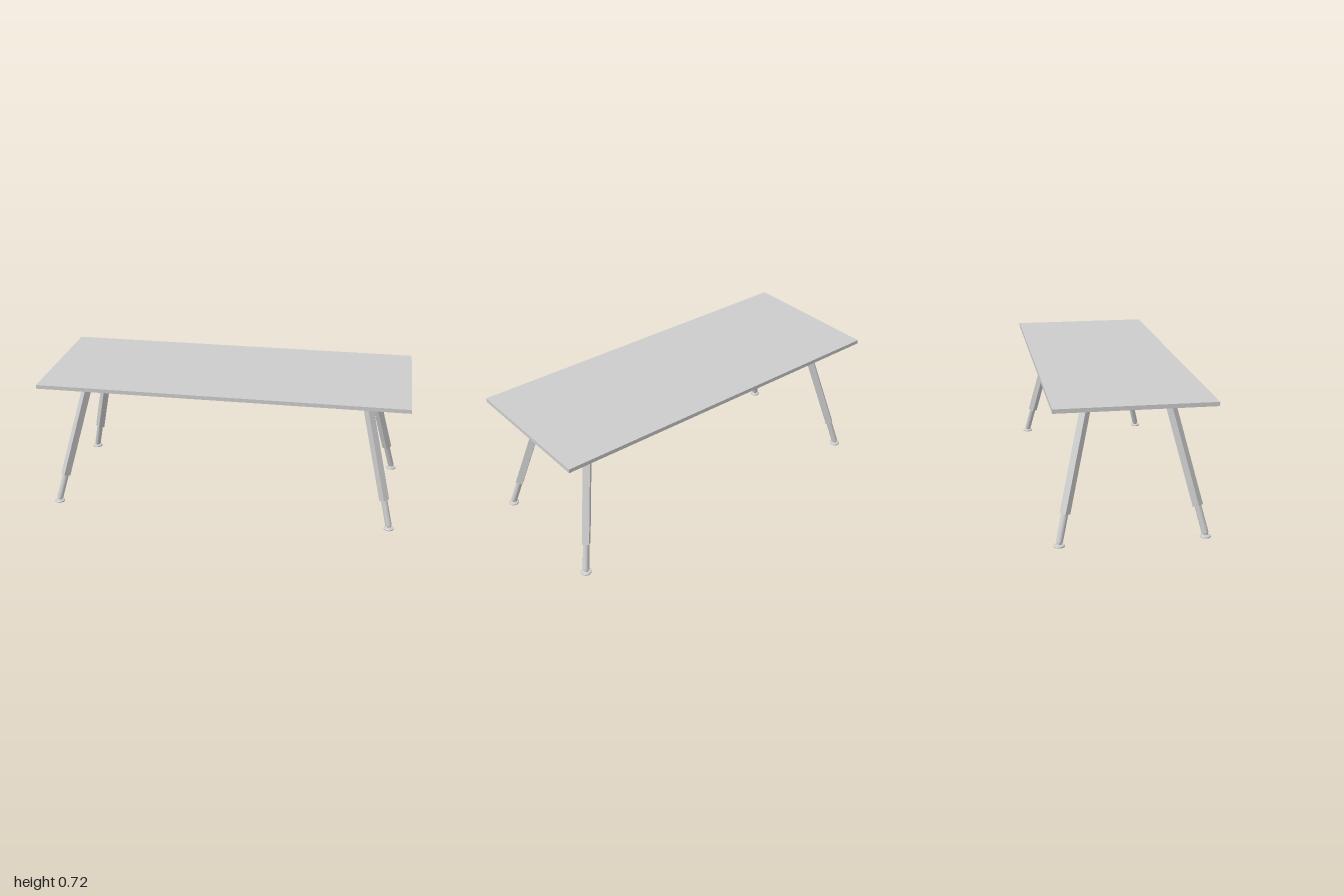
import * as THREE from 'three';

const grey = new THREE.MeshStandardMaterial({ color: 0xcccccc });
const TILT = 0.344; // leg run per unit of height
const legRadius = (y) => 0.526 - TILT * y;

function add(parent, name, geometry, x = 0, y = 0, z = 0) {
  const mesh = new THREE.Mesh(geometry, grey);
  mesh.name = name;
  mesh.position.set(x, y, z);
  parent.add(mesh);
  return mesh;
}

// Places a part of the leaning leg between two heights
function addAlongLeg(parent, name, y0, y1, makeGeometry) {
  const y = (y0 + y1) / 2;
  const length = (y1 - y0) * Math.hypot(1, TILT);
  const mesh = add(parent, name, makeGeometry(length), 0, y, legRadius(y));
  mesh.rotation.x = -Math.atan(TILT);
}

// Corner bracket: side profile extruded across the diagonal
function bracketGeometry() {
  const width = 0.045;
  const profile = [
    [0.05, 0.7], [-0.021, 0.7], [-0.021, 0.661], [-0.05, 0.661], [-0.05, 0.647],
    [-0.047, 0.645], [-0.024, 0.648], [0.043, 0.674], [0.048, 0.677], [0.05, 0.682],
  ].map(([r, y]) => new THREE.Vector2(0.314 + r, y));
  const geometry = new THREE.ExtrudeGeometry(new THREE.Shape(profile), { depth: width, bevelEnabled: false });
  geometry.translate(0, 0, -width / 2);
  geometry.rotateY(-Math.PI / 2);
  return geometry;
}

// One corner; local +z points outwards along the diagonal
function createCorner() {
  const corner = new THREE.Group();
  corner.name = 'legAssembly';
  add(corner, 'cornerBracket', bracketGeometry());
  addAlongLeg(corner, 'legTube', 0.155, 0.668, (l) => new THREE.BoxGeometry(0.038, l, 0.038));
  addAlongLeg(corner, 'lowerLeg', 0.02, 0.17, (l) => new THREE.CylinderGeometry(0.0172, 0.0172, l, 32));
  addAlongLeg(corner, 'footNeck', 0.009, 0.022, (l) => new THREE.CylinderGeometry(0.014, 0.011, l, 24));
  // Levelling foot
  const foot = [[0, 0], [0.028, 0], [0.028, 0.006], [0.026, 0.008], [0.014, 0.009], [0.01, 0.013], [0, 0.013]];
  const points = foot.flatMap(([r, y], i) => {
    const p = new THREE.Vector2(r, y);
    return i > 0 && i < 4 ? [p, p.clone()] : [p];
  });
  add(corner, 'foot', new THREE.LatheGeometry(points, 32), 0, 0, 0.521);
  return corner;
}

export function createModel() {
  const table = new THREE.Group();
  table.name = 'table';
  add(table, 'tableTop', new THREE.BoxGeometry(2, 0.021, 0.798), 0, 0.7105, 0);

  // Rails under the top
  for (const side of [-1, 1]) {
    add(table, 'longRail', new THREE.BoxGeometry(1.524, 0.038, 0.03), 0, 0.681, side * 0.207);
    add(table, 'shortRail', new THREE.BoxGeometry(0.03, 0.038, 0.4), side * 0.769, 0.681, 0);
  }

  // Four legs splayed along the diagonals
  for (const sx of [-1, 1]) {
    for (const sz of [-1, 1]) {
      const corner = createCorner();
      corner.position.x = sx * 0.562;
      corner.rotation.y = Math.atan2(sx, sz);
      table.add(corner);
    }
  }
  return table;
}
